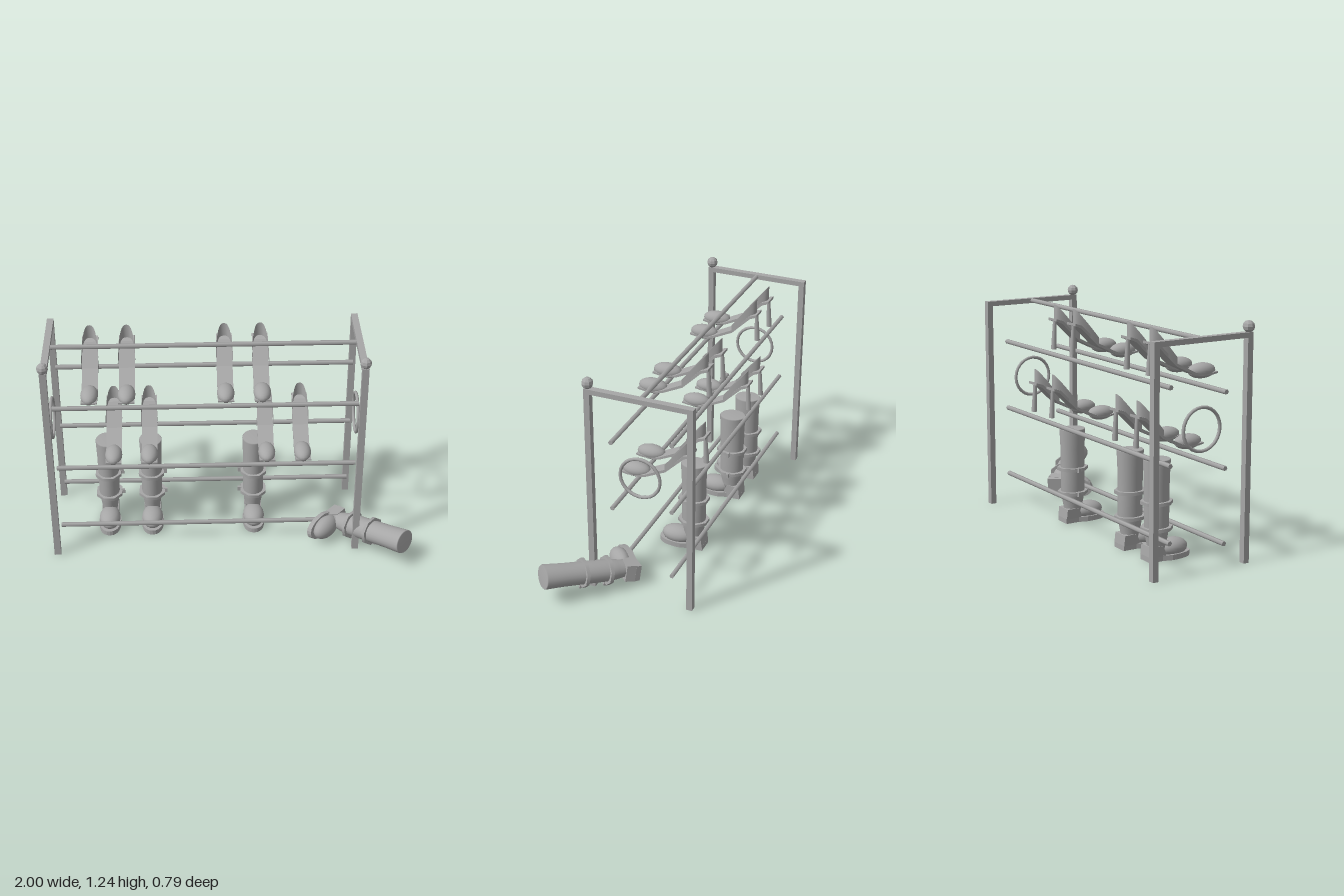
import * as THREE from 'three';

const grey = new THREE.MeshStandardMaterial({ color: 0xa6a6a6 });
const greyThin = grey.clone();
greyThin.side = THREE.DoubleSide;
grey.name = greyThin.name = 'grey';

function add(parent, name, geometry, x = 0, y = 0, z = 0, material = grey) {
  const mesh = new THREE.Mesh(geometry, material);
  mesh.name = name;
  mesh.position.set(x, y, z);
  parent.add(mesh);
  return mesh;
}

// Low-poly ball, faceted
function facetedBall(r) {
  const g = new THREE.SphereGeometry(r, 8, 6).toNonIndexed();
  g.computeVertexNormals();
  return g;
}

// Side profile given as [z, y], extruded across x
function sideExtrude(points, width) {
  const shape = new THREE.Shape(points.map(([z, y]) => new THREE.Vector2(z, y)));
  const g = new THREE.ExtrudeGeometry(shape, { depth: width, bevelEnabled: false });
  return g.translate(0, 0, -width / 2).rotateY(-Math.PI / 2);
}

// Heel cup: an upright arched shell whose rim climbs to a point at the back
function heelCupGeometry() {
  const n = 20, pos = [], index = [];
  for (let i = 0; i <= n; i++) {
    const a = (i / n - 0.5) * Math.PI;
    const s = Math.sin(a), back = 0.129 * Math.cos(a);
    const x = 0.046 * Math.sign(s) * Math.pow(Math.abs(s), 0.75);
    pos.push(x, 1.012 + back * 0.98, -0.128 - back);
    pos.push(x, 1.06 + back * 1.22, -0.128 - back);
    if (i < n) {
      const k = i * 2;
      index.push(k, k + 1, k + 2, k + 1, k + 3, k + 2);
    }
  }
  const g = new THREE.BufferGeometry();
  g.setAttribute('position', new THREE.Float32BufferAttribute(pos, 3));
  g.setIndex(index);
  g.computeVertexNormals();
  return g;
}

// High-heeled shoe hanging on two rods
function makeShoe() {
  const shoe = new THREE.Group();
  shoe.name = 'heeledShoe';
  add(shoe, 'shoeSole', sideExtrude([
    [0.125, 0.955], [0.09, 0.949], [0.02, 0.949], [-0.015, 0.957], [-0.13, 1.012], [-0.235, 1.115], [-0.272, 1.13],
    [-0.272, 1.144], [-0.23, 1.13], [-0.125, 1.026], [-0.013, 0.97], [0.02, 0.96], [0.09, 0.96], [0.125, 0.964],
  ], 0.086));
  add(shoe, 'shoeToe', new THREE.SphereGeometry(1, 20, 12).scale(0.047, 0.04, 0.08), 0, 0.969, 0.053);
  add(shoe, 'heelCup', heelCupGeometry(), 0, 0, 0, greyThin);
  const heel = add(shoe, 'stilettoHeel', new THREE.CylinderGeometry(0.01, 0.016, 0.16, 8), 0, 1.055, -0.262);
  heel.rotation.x = 0.05;
  return shoe;
}

// Tall boot, origin under the shaft, toe towards +z
function makeBoot() {
  const boot = new THREE.Group();
  boot.name = 'tallBoot';
  const profile = [[0, 0.05], [0.05, 0.05], [0.052, 0.08], [0.06, 0.12], [0.067, 0.17], [0.068, 0.3],
    [0.069, 0.42], [0.074, 0.525], [0.07, 0.53], [0, 0.53]].map(([r, y]) => new THREE.Vector2(r, y));
  add(boot, 'bootShaft', new THREE.LatheGeometry(profile, 24).scale(0.86, 1, 1));

  const sole = new THREE.Shape();
  sole.moveTo(-0.045, -0.067);
  sole.lineTo(0.045, -0.067);
  sole.lineTo(0.047, 0.01);
  sole.lineTo(0.062, 0.06);
  sole.bezierCurveTo(0.066, 0.13, 0.05, 0.197, 0, 0.197);
  sole.bezierCurveTo(-0.05, 0.197, -0.066, 0.13, -0.062, 0.06);
  sole.lineTo(-0.047, 0.01);
  const soleGeo = new THREE.ExtrudeGeometry(sole, { depth: 0.028, bevelEnabled: false, curveSegments: 8 });
  add(boot, 'bootSole', soleGeo.rotateX(Math.PI / 2), 0, 0.028, 0);
  add(boot, 'bootToe', new THREE.SphereGeometry(1, 20, 12).scale(0.06, 0.05, 0.092), 0, 0.052, 0.093);
  add(boot, 'heelCounter', sideExtrude([
    [-0.067, 0.025], [0.03, 0.025], [0.025, 0.05], [0.01, 0.08], [-0.06, 0.08],
  ], 0.095));

  // Straps with a buckle on the outer side
  for (const y of [0.168, 0.305]) {
    const band = new THREE.CylinderGeometry(1, 1, 0.018, 8).rotateY(Math.PI / 8).scale(0.078, 1, 0.088);
    add(boot, 'strap', band, 0, y, 0);
    add(boot, 'buckle', new THREE.BoxGeometry(0.022, 0.026, 0.014), 0.077, y, -0.005);
  }
  return boot;
}

export function createModel() {
  const model = new THREE.Group();
  model.name = 'shoeRack';

  // End frames with finials and rings
  for (const x of [-0.97, 0.698]) {
    const frame = new THREE.Group();
    frame.name = 'endFrame';
    frame.position.x = x;
    model.add(frame);
    add(frame, 'frontPost', new THREE.BoxGeometry(0.036, 1.184, 0.032), 0, 0.592, 0.174);
    add(frame, 'backPost', new THREE.BoxGeometry(0.036, 1.184, 0.032), 0, 0.592, -0.382);
    add(frame, 'topBeam', new THREE.BoxGeometry(0.036, 0.027, 0.524), 0, 1.1705, -0.104);
    add(frame, 'finial', facetedBall(0.031), 0, 1.211, 0.174);
    add(frame, 'ring', new THREE.TorusGeometry(0.11, 0.009, 8, 24).rotateY(Math.PI / 2), 0, 0.727, -0.104);
  }

  // Hexagonal rods as [y, z]
  const rods = [[1.172, -0.108], [0.947, -0.273], [0.891, 0.06], [0.559, -0.273],
    [0.503, 0.06], [0.168, -0.273], [0.112, 0.06]];
  for (const [y, z] of rods) {
    add(model, 'rod', new THREE.CylinderGeometry(0.013, 0.013, 1.64, 6).rotateZ(Math.PI / 2), -0.13, y, z);
  }

  // Two rows of heeled shoes
  const rows = [[0, [-0.748, -0.55, -0.024, 0.171]], [-0.388, [-0.636, -0.441, 0.2, 0.396]]];
  for (const [y, xs] of rows) {
    for (const x of xs) {
      const shoe = makeShoe();
      shoe.position.set(x, y, 0);
      model.add(shoe);
    }
  }

  // Standing boots; the last one is the opposite foot
  for (const [x, side] of [[-0.685, 1], [-0.441, 1], [0.139, -1]]) {
    const boot = makeBoot();
    boot.position.set(x, 0, -0.171);
    boot.scale.x = side;
    model.add(boot);
  }

  // Fallen boot lying against the front post
  const fallen = makeBoot();
  fallen.name = 'fallenBoot';
  const up = new THREE.Vector3(0.728, 0.166, 0.666).normalize();
  const across = new THREE.Vector3().crossVectors(up, new THREE.Vector3(-0.67, -0.02, 0.74)).normalize();
  const toe = new THREE.Vector3().crossVectors(across, up);
  fallen.quaternion.setFromRotationMatrix(new THREE.Matrix4().makeBasis(across, up, toe));
  fallen.position.set(0.564, 0.075, -0.01);
  model.add(fallen);

  return model;
}
